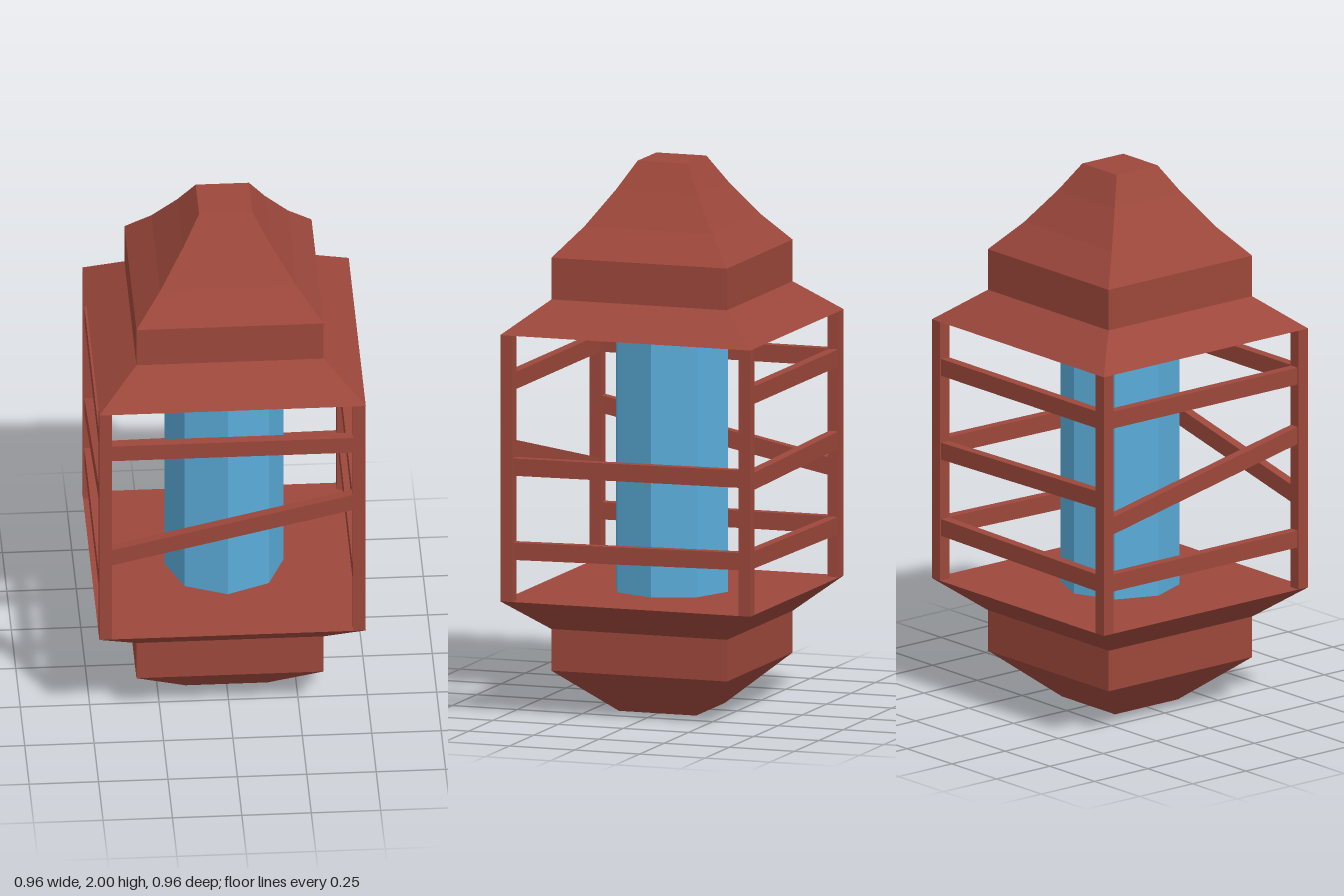
import * as THREE from 'three';

export function createModel() {
  const model = new THREE.Group();
  model.name = 'lantern';

  const red = new THREE.MeshStandardMaterial({ color: 0x9c473b, flatShading: true });
  red.name = 'red paint';
  const blue = new THREE.MeshStandardMaterial({ color: 0x5aabd8, flatShading: true });
  blue.name = 'blue glass';

  function add(name, geometry, material, parent = model) {
    const mesh = new THREE.Mesh(geometry, material);
    mesh.name = name;
    parent.add(mesh);
    return mesh;
  }

  // Square solid from [half width, height] steps, listed bottom to top
  function squareLathe(steps) {
    const points = steps.map(([h, y]) => new THREE.Vector2(h * Math.SQRT2, y));
    const g = new THREE.LatheGeometry(points, 4, Math.PI / 4).toNonIndexed();
    g.computeVertexNormals();
    return g;
  }

  // Stepped base with a tapering foot
  add('base', squareLathe([
    [0, 0], [0.148, 0], [0.337, 0.165], [0.337, 0.317], [0.48, 0.432], [0, 0.432],
  ]), red);

  // Eaves, collar and concave spire
  add('roof', squareLathe([
    [0, 1.402], [0.48, 1.402], [0.337, 1.518], [0.337, 1.67],
    [0.245, 1.775], [0.157, 1.9], [0.096, 2], [0, 2],
  ]), red);

  // Octagonal glass core
  const core = new THREE.CylinderGeometry(0.215, 0.215, 0.97, 8);
  add('glassCore', core, blue).position.y = 0.917;

  // Corner posts
  const postGeometry = new THREE.BoxGeometry(0.045, 0.97, 0.045);
  for (const x of [-1, 1]) {
    for (const z of [-1, 1]) {
      add('cornerPost', postGeometry, red).position.set(x * 0.457, 0.917, z * 0.457);
    }
  }

  // Rails of each side: heights at the left and right ends, seen from outside
  const sides = [
    ['frontRails', 0, [[1.231, 1.231], [0.78, 0.985]]],
    ['leftRails', Math.PI / 2, [[0.923, 0.93], [0.616, 0.63]]],
    ['backRails', Math.PI, [[1.231, 1.231], [0.917, 0.932], [0.631, 0.62]]],
    ['rightRails', -Math.PI / 2, [[1.231, 1.231], [0.833, 1.01], [0.62, 0.62]]],
  ];
  const span = 0.88;
  for (const [name, turn, rails] of sides) {
    const side = new THREE.Group();
    side.name = name;
    side.rotation.y = turn;
    model.add(side);
    for (const [y0, y1] of rails) {
      const length = Math.hypot(span, y1 - y0);
      const rail = add('rail', new THREE.BoxGeometry(length, 0.063, 0.036), red, side);
      rail.position.set(0, (y0 + y1) / 2, 0.457);
      rail.rotation.z = Math.atan2(y1 - y0, span);
    }
  }

  return model;
}
